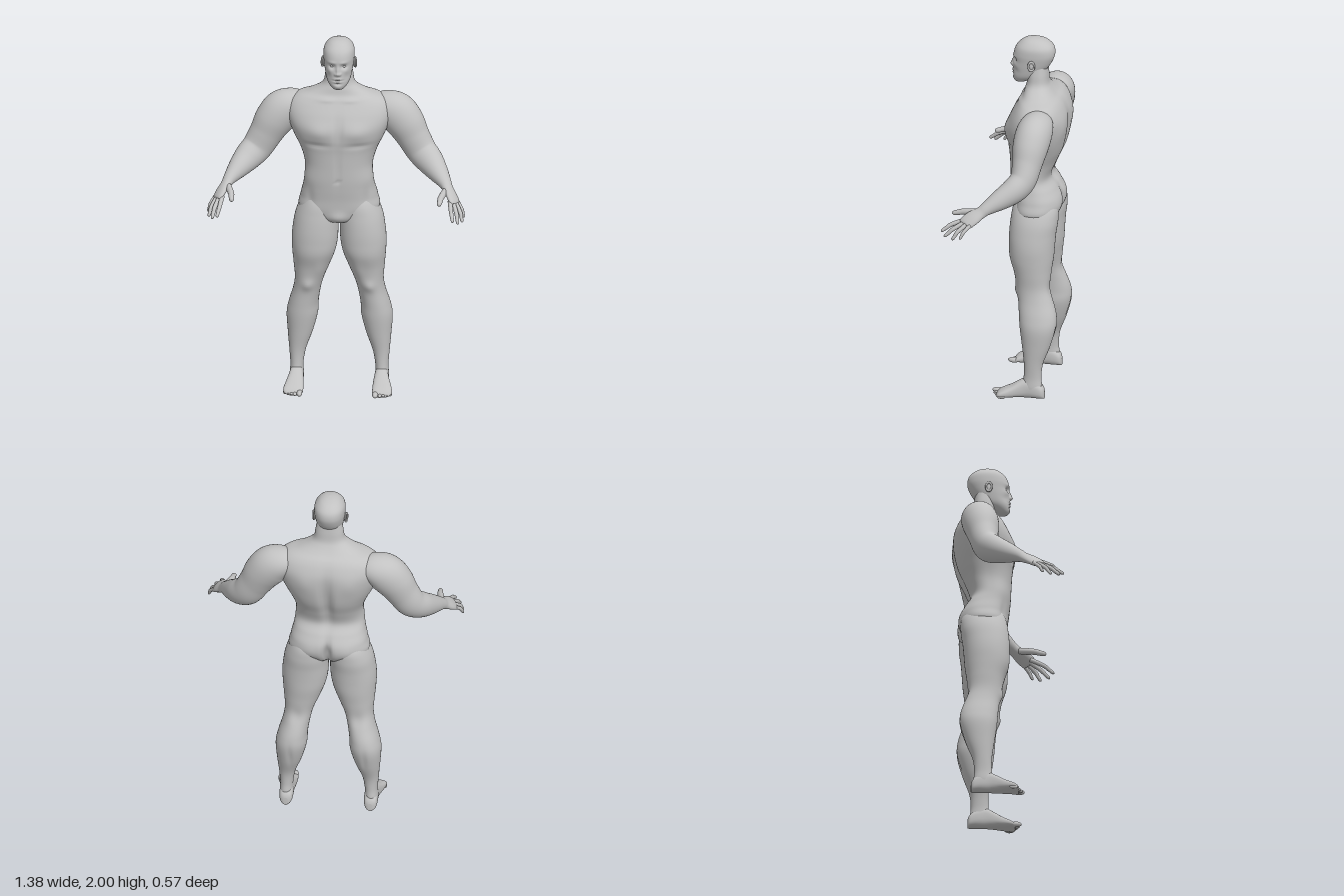
import * as THREE from 'three';

const skin = new THREE.MeshStandardMaterial({ color: 0xc2c2c2 });
skin.name = 'plainGrey';
const V = (x, y, z) => new THREE.Vector3(x, y, z);

// Catmull-Rom interpolation of every column of a section table
function smooth(rows, n) {
  const out = [], last = rows.length - 1;
  for (let i = 0; i <= n; i++) {
    const u = (i / n) * last, k = Math.min(Math.floor(u), last - 1), t = u - k;
    const [a, b, c, d] = [k - 1, k, k + 1, k + 2].map(j => rows[Math.max(0, Math.min(last, j))]);
    out.push(b.map((_, q) => 0.5 * (2 * b[q] + (c[q] - a[q]) * t
      + (2 * a[q] - 5 * b[q] + 4 * c[q] - d[q]) * t * t
      + (3 * b[q] - a[q] - 3 * c[q] + d[q]) * t * t * t)));
  }
  return out;
}

// Closed skin over a list of rings, with faces turned outwards
function loft(rings) {
  const n = rings[0].length, m = rings.length, pts = rings.flat(), idx = [];
  for (let i = 0; i < m - 1; i++) for (let j = 0; j < n; j++) {
    const a = i * n + j, b = i * n + (j + 1) % n;
    idx.push(a, b, a + n, b, b + n, a + n);
  }
  for (const r of [0, m - 1]) {
    const c = pts.length;
    pts.push(rings[r].reduce((s, p) => s.add(p), V(0, 0, 0)).divideScalar(n));
    for (let j = 0; j < n; j++) {
      const a = r * n + j, b = r * n + (j + 1) % n;
      r ? idx.push(a, b, c) : idx.push(b, a, c);
    }
  }
  let volume = 0;
  for (let i = 0; i < idx.length; i += 3)
    volume += pts[idx[i]].dot(pts[idx[i + 1]].clone().cross(pts[idx[i + 2]]));
  if (volume < 0) idx.reverse();
  const g = new THREE.BufferGeometry().setFromPoints(pts);
  g.setIndex(idx);
  g.computeVertexNormals();
  return g;
}

const pow = (v, e) => Math.sign(v) * Math.abs(v) ** (2 / e);
function oval(n, e, place) {
  return Array.from({ length: n }, (_, j) => {
    const a = (j / n) * Math.PI * 2;
    return place(pow(Math.cos(a), e), pow(Math.sin(a), e));
  });
}

// Horizontal sections [y, xMin, xMax, zFront, zBack];
// bumps [face (+1 front, -1 back), x, y, spreadX, spreadY, height], mirrored in x
function stack(rows, n, seg, e, side = 1, bumps = []) {
  return loft(smooth(rows, n).map(([y, x0, x1, zf, zb]) => oval(seg, e, (c, s) => {
    const x = (x0 + x1) / 2 + c * (x1 - x0) / 2;
    let z = (zf + zb) / 2 + s * (zf - zb) / 2;
    for (const [face, bx, by, sx, sy, h] of bumps) {
      if (face * s <= 0) continue;
      const d = ((Math.abs(x) - bx) / sx) ** 2 + ((y - by) / sy) ** 2;
      z += face * h * Math.exp(-d) * Math.min(1, Math.abs(s) * 2);
    }
    return V(x * side, y, z);
  })));
}

// Limb along a path; rows are [x, y, z, thickness radius, width radius]
function limb(rows, n, seg, side) {
  const p = smooth(rows, n);
  return loft(p.map(([x, y, z, ru, rs], i) => {
    const a = p[Math.max(0, i - 1)], b = p[Math.min(n, i + 1)];
    const t = V(b[0] - a[0], b[1] - a[1], b[2] - a[2]).normalize();
    const u = V(0.6, 0.8, 0);
    u.addScaledVector(t, -u.dot(t)).normalize();
    const w = t.clone().cross(u);
    return oval(seg, 2, (c, s) => {
      const q = V(x, y, z).addScaledVector(u, c * Math.max(ru, 0.001)).addScaledVector(w, s * Math.max(rs, 0.001));
      q.x *= side;
      return q;
    });
  }));
}

const sym = rows => rows.map(([y, w, zf, zb]) => [y, -w, w, zf, zb]);

const torsoRows = sym([
  [0.955, 0.02, -0.06, -0.15], [0.975, 0.1, -0.01, -0.2], [1.03, 0.21, 0.005, -0.243],
  [1.1, 0.206, 0.012, -0.253], [1.16, 0.192, 0.02, -0.228], [1.22, 0.184, 0.026, -0.195],
  [1.3, 0.182, 0.03, -0.222], [1.38, 0.206, 0.035, -0.258], [1.45, 0.24, 0.044, -0.276],
  [1.52, 0.268, 0.042, -0.284], [1.58, 0.28, 0.022, -0.282], [1.63, 0.268, -0.004, -0.266],
  [1.665, 0.23, -0.025, -0.244], [1.69, 0.165, -0.04, -0.215], [1.72, 0.11, -0.048, -0.19],
  [1.75, 0.083, -0.056, -0.175], [1.8, 0.074, -0.06, -0.17], [1.85, 0.065, -0.065, -0.165]]);
const torsoBumps = [
  [1, 0.1, 1.5, 0.07, 0.045, 0.013], [1, 0.11, 1.425, 0.07, 0.014, -0.007],   // chest
  [1, 0, 1.52, 0.014, 0.07, -0.01], [1, 0, 1.3, 0.01, 0.11, -0.005],          // midline
  [1, 0, 1.215, 0.009, 0.009, -0.008], [1, 0, 1.0, 0.04, 0.03, 0.012],        // navel, groin
  [1, 0.15, 1.1, 0.02, 0.06, -0.007], [1, 0.06, 1.665, 0.05, 0.012, 0.006],   // hip line, collarbone
  [-1, 0, 1.4, 0.028, 0.16, -0.03], [-1, 0, 1.04, 0.016, 0.075, -0.05],       // spine, cleft
  [-1, 0.12, 1.53, 0.05, 0.06, 0.006], [-1, 0.1, 1.06, 0.06, 0.05, 0.008]];   // shoulder blade, buttock

const headRows = sym([
  [1.738, 0.012, 0.0, -0.03], [1.745, 0.03, 0.012, -0.05], [1.765, 0.05, 0.019, -0.095],
  [1.79, 0.064, 0.02, -0.135], [1.83, 0.073, 0.02, -0.168], [1.87, 0.079, 0.017, -0.192],
  [1.91, 0.083, 0.017, -0.205], [1.95, 0.079, 0.003, -0.199], [1.98, 0.058, -0.026, -0.17],
  [1.995, 0.032, -0.056, -0.132], [2.0, 0.004, -0.088, -0.096]]);
const headBumps = [
  [1, 0.031, 1.874, 0.016, 0.012, -0.013], [1, 0.03, 1.897, 0.022, 0.008, 0.004], // socket, brow
  [1, 0, 1.852, 0.008, 0.024, 0.012], [1, 0, 1.836, 0.012, 0.009, 0.011],         // nose
  [1, 0.013, 1.833, 0.006, 0.007, 0.007], [1, 0.045, 1.85, 0.015, 0.014, 0.004],  // nostril, cheek
  [1, 0, 1.805, 0.02, 0.006, 0.007], [1, 0, 1.789, 0.018, 0.006, 0.006],          // lips
  [1, 0, 1.797, 0.026, 0.0035, -0.006], [1, 0, 1.777, 0.02, 0.006, -0.004],       // mouth
  [1, 0, 1.76, 0.018, 0.012, 0.005], [1, 0.05, 1.815, 0.016, 0.02, -0.005]];      // chin, cheek hollow

const legRows = [
  [1.17, 0.06, 0.15, -0.06, -0.16], [1.08, 0.02, 0.198, -0.008, -0.236], [1.0, 0.004, 0.232, 0.008, -0.246],
  [0.92, 0.004, 0.247, 0.015, -0.236], [0.85, 0.007, 0.253, 0.015, -0.23], [0.78, 0.02, 0.25, 0.01, -0.225],
  [0.7, 0.05, 0.243, -0.015, -0.215], [0.62, 0.082, 0.237, -0.03, -0.212], [0.55, 0.1, 0.247, -0.042, -0.23],
  [0.47, 0.112, 0.27, -0.05, -0.252], [0.4, 0.116, 0.283, -0.056, -0.253], [0.3, 0.142, 0.277, -0.07, -0.225],
  [0.2, 0.178, 0.268, -0.083, -0.187], [0.12, 0.192, 0.262, -0.083, -0.178], [0.06, 0.194, 0.264, -0.075, -0.182],
  [0.02, 0.205, 0.255, -0.09, -0.165]];
const legBumps = [
  [1, 0.165, 0.595, 0.03, 0.03, 0.012], [1, 0.1, 0.69, 0.03, 0.05, 0.006],        // kneecap, inner thigh
  [-1, 0.165, 0.6, 0.03, 0.05, -0.008], [-1, 0.2, 0.36, 0.012, 0.07, -0.006]];    // knee hollow, calf split

const armRows = [
  [0.17, 1.6, -0.165, 0.05, 0.06], [0.24, 1.592, -0.16, 0.085, 0.088], [0.3, 1.563, -0.152, 0.107, 0.097],
  [0.35, 1.505, -0.143, 0.104, 0.094], [0.393, 1.43, -0.135, 0.09, 0.08], [0.438, 1.355, -0.122, 0.083, 0.07],
  [0.487, 1.31, -0.08, 0.075, 0.066], [0.535, 1.27, -0.015, 0.056, 0.054], [0.575, 1.235, 0.045, 0.035, 0.037],
  [0.592, 1.215, 0.075, 0.026, 0.034], [0.615, 1.19, 0.115, 0.021, 0.043], [0.632, 1.165, 0.148, 0.016, 0.041],
  [0.638, 1.158, 0.156, 0.007, 0.03]];

// Base, middle joint, tip and base radius
const fingers = {
  thumb: [[0.582, 1.212, 0.095], [0.561, 1.2, 0.17], [0.553, 1.182, 0.238], 0.018],
  indexFinger: [[0.608, 1.175, 0.155], [0.618, 1.145, 0.228], [0.63, 1.104, 0.284], 0.0125],
  middleFinger: [[0.622, 1.17, 0.148], [0.645, 1.132, 0.212], [0.657, 1.086, 0.262], 0.0125],
  ringFinger: [[0.636, 1.165, 0.138], [0.664, 1.126, 0.184], [0.678, 1.08, 0.215], 0.012],
  littleFinger: [[0.648, 1.16, 0.122], [0.672, 1.128, 0.152], [0.684, 1.09, 0.172], 0.0105]
};

// Foot sections [z, centre x, half width, height]
const footRows = [
  [-0.196, 0.227, 0.012, 0.045], [-0.185, 0.227, 0.03, 0.07], [-0.15, 0.227, 0.037, 0.1],
  [-0.1, 0.227, 0.037, 0.112], [-0.06, 0.229, 0.042, 0.094], [-0.02, 0.233, 0.049, 0.068],
  [0.02, 0.237, 0.053, 0.048], [0.045, 0.237, 0.051, 0.034], [0.06, 0.233, 0.04, 0.02]];

export function createModel() {
  const model = new THREE.Group();
  model.name = 'muscularFigure';
  const add = (name, geometry, parent = model) => {
    const mesh = new THREE.Mesh(geometry, skin);
    mesh.name = name;
    parent.add(mesh);
    return mesh;
  };
  const blob = (name, parent, p, r) => {
    const mesh = add(name, new THREE.SphereGeometry(1, 20, 14), parent);
    mesh.position.set(...p);
    mesh.scale.set(...r);
  };

  add('torso', stack(torsoRows, 110, 96, 2.35, 1, torsoBumps));
  add('head', stack(headRows, 90, 112, 2.2, 1, headBumps));

  for (const [s, label] of [[1, 'left'], [-1, 'right']]) {
    // Eye and ear
    blob(label + 'Eye', model, [s * 0.031, 1.873, -0.012], [0.014, 0.01, 0.014]);
    blob(label + 'Ear', model, [s * 0.082, 1.862, -0.092], [0.008, 0.027, 0.016]);
    const rim = add(label + 'EarRim', new THREE.TorusGeometry(0.016, 0.005, 10, 24));
    rim.position.set(s * 0.088, 1.864, -0.094);
    rim.rotation.y = Math.PI / 2 + s * 0.25;
    rim.scale.y = 1.5;

    // Arm with palm and fingers
    const arm = new THREE.Group();
    arm.name = label + 'Arm';
    model.add(arm);
    add(label + 'ArmAndPalm', limb(armRows, 80, 40, s), arm);
    for (const [name, [a, b, c, r]] of Object.entries(fingers)) {
      const d = V(...c).sub(V(...b));
      const at = t => V(...b).addScaledVector(d, t).toArray();
      const rows = [[...a, r, r], [...b, r * 0.92, r * 0.92], [...at(0.5), r * 0.8, r * 0.8],
        [...at(0.88), r * 0.65, r * 0.65], [...c, r * 0.15, r * 0.15]];
      add(name, limb(rows, 20, 14, s), arm);
    }

    // Leg with foot and toes
    const leg = new THREE.Group();
    leg.name = label + 'Leg';
    model.add(leg);
    add(label + 'ThighAndCalf', stack(legRows, 90, 48, 2.1, s, legBumps), leg);
    add(label + 'Foot', loft(smooth(footRows, 36).map(([z, cx, w, h]) =>
      oval(32, 2.5, (c, v) => V(s * (cx + c * w), h / 2 + v * h / 2, z)))), leg);
    for (let i = 0; i < 5; i++) {
      const r = i ? 0.0105 - i * 0.0004 : 0.015;
      blob('toe', leg, [s * (i ? 0.208 + i * 0.0185 : 0.202), r, 0.062 - i * 0.008], [r, r, 0.031 - i * 0.002]);
    }
  }
  return model;
}
